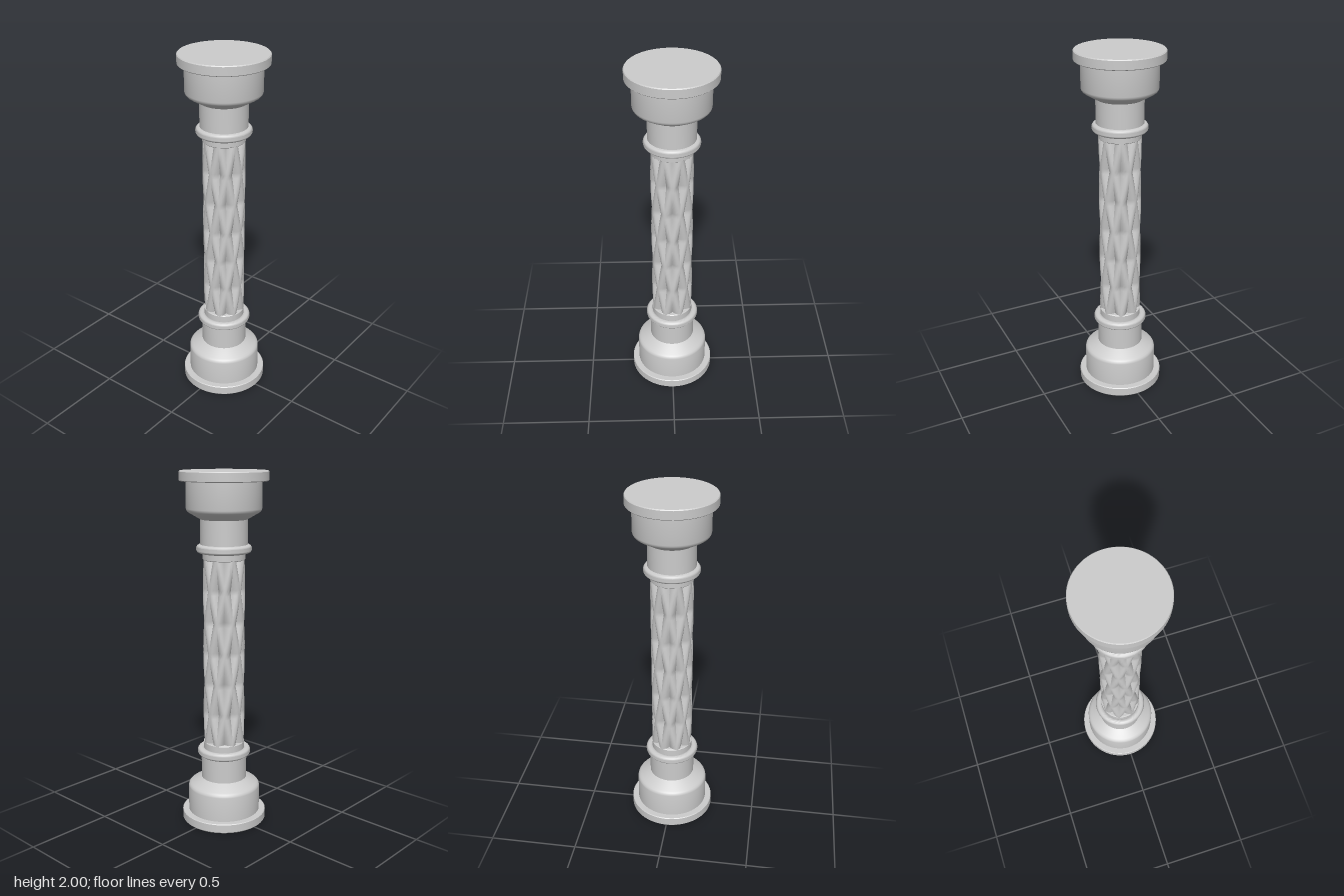
import * as THREE from 'three';
import { toCreasedNormals } from 'three/addons/utils/BufferGeometryUtils.js';

const material = new THREE.MeshStandardMaterial({ color: 0xcccccc });
const HEIGHT = 2;

function part(name, geometry, crease = 0.6) {
  const mesh = new THREE.Mesh(toCreasedNormals(geometry, crease), material);
  mesh.name = name;
  return mesh;
}

// Turned part from a [radius, y] profile listed upward; the top one is flipped end for end
function turned(name, profile, top) {
  let points = profile.map(([r, y]) => new THREE.Vector2(r, top ? HEIGHT - y : y));
  if (top) points = points.reverse();
  return part(name, new THREE.LatheGeometry(points, 72));
}

// Shaft of eight rounded ribs twisted both ways, each point taking the higher rib
function latticeShaft(y0, y1, rMax, depth) {
  const ribs = 8, rows = 6, step = 12;
  const geometry = new THREE.CylinderGeometry(1, 1, y1 - y0, ribs * step, rows * step, true);
  geometry.translate(0, (y0 + y1) / 2, 0);
  const p = geometry.attributes.position;
  for (let i = 0; i < p.count; i++) {
    const a = Math.atan2(p.getX(i), p.getZ(i));
    const u = a * ribs / 2;
    const v = ((p.getY(i) - y0) / (y1 - y0)) * rows * Math.PI / 2;
    // Rib crowns cross halfway up each row, hollows lie at the row ends
    const rib = Math.max(Math.abs(Math.sin(u + v)), Math.abs(Math.sin(u - v)));
    const r = rMax - depth * (1 - rib);
    p.setX(i, r * Math.sin(a));
    p.setZ(i, r * Math.cos(a));
  }
  return part('latticeShaft', geometry, 0.5);
}

export function createModel() {
  const column = new THREE.Group();
  column.name = 'column';

  const plinth = [[0, 0], [0.238, 0], [0.242, 0.005], [0.242, 0.05], [0.238, 0.054], [0.2, 0.054]];
  const drum = [[0.206, 0.05], [0.206, 0.198], [0.204, 0.207], [0.198, 0.215],
    [0.188, 0.222], [0.145, 0.247], [0.13, 0.256]];
  const neck = [[0.13, 0.25], [0.13, 0.4]];
  const collar = [[0.117, 0.4], [0.117, 0.472], [0.113, 0.476], [0.08, 0.476]];

  // Matching base and capital
  for (const top of [false, true]) {
    const end = new THREE.Group();
    end.name = top ? 'capital' : 'base';
    end.add(
      turned('plinth', plinth, top),
      turned('drum', drum, top),
      turned('neck', neck, top),
      turned('collar', collar, top),
    );
    const ring = part('ring', new THREE.TorusGeometry(0.129, 0.024, 16, 72).rotateX(Math.PI / 2), 0.8);
    ring.position.y = top ? HEIGHT - 0.415 : 0.415;
    end.add(ring);
    column.add(end);
  }

  column.add(latticeShaft(0.47, 1.53, 0.117, 0.032));
  return column;
}
